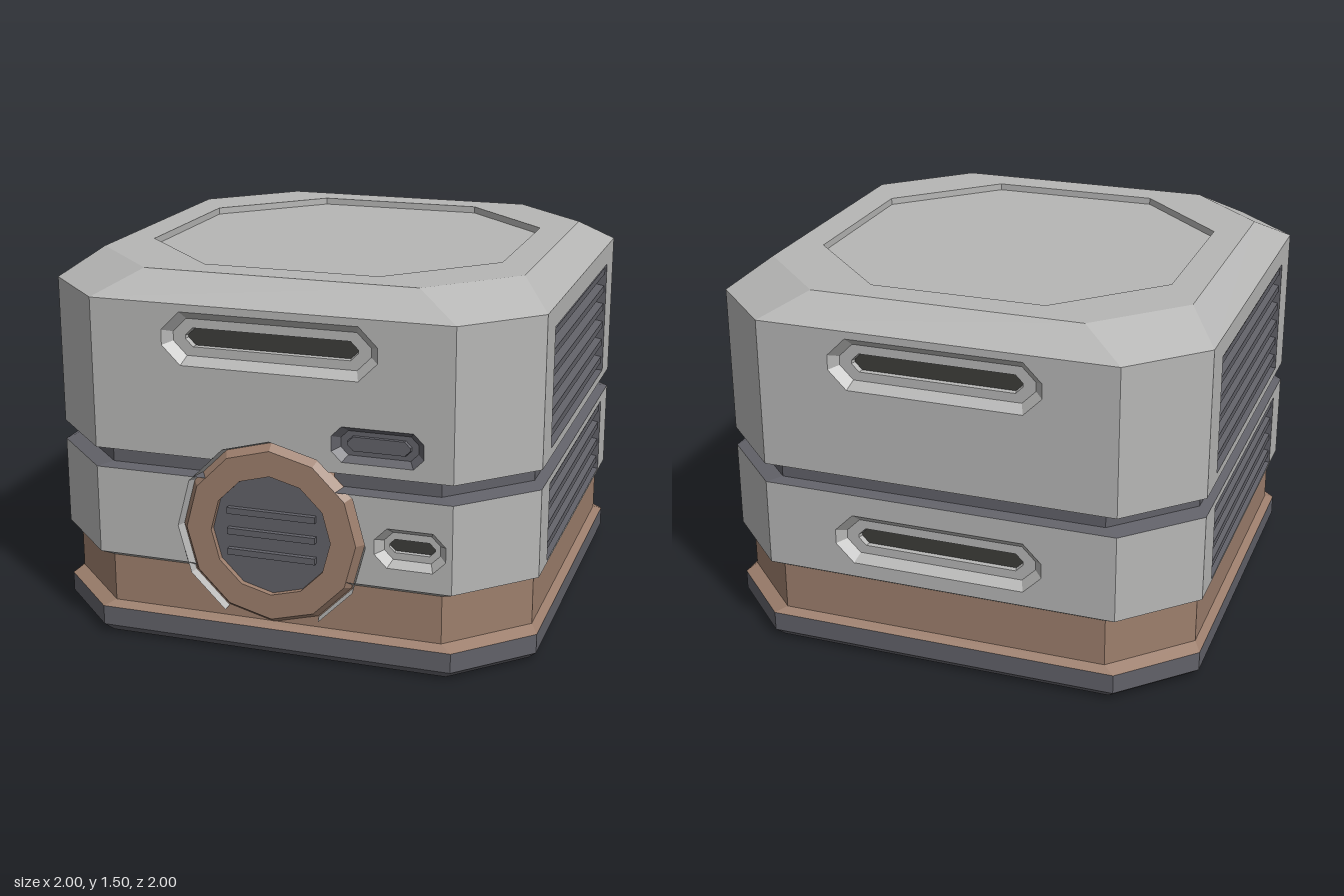
import * as THREE from 'three';

const mat = (name, color) => new THREE.MeshStandardMaterial({ name, color, flatShading: true });

// Skin a list of rings of [x, y, z] points; optionally close the loop.
function loft(rings, closed = true) {
  const out = [];
  for (let i = 0; i < rings.length - 1; i++) {
    const A = rings[i], B = rings[i + 1], n = A.length;
    for (let j = 0; j < (closed ? n : n - 1); j++) {
      const k = (j + 1) % n;
      out.push(...A[j], ...A[k], ...B[k], ...A[j], ...B[k], ...B[j]);
    }
  }
  return toGeometry(out);
}

// Flat convex polygon, facing the side from which the ring is counterclockwise.
function cap(ring) {
  const out = [];
  for (let j = 1; j < ring.length - 1; j++) out.push(...ring[0], ...ring[j], ...ring[j + 1]);
  return toGeometry(out);
}

function toGeometry(positions) {
  const g = new THREE.BufferGeometry();
  g.setAttribute('position', new THREE.Float32BufferAttribute(positions, 3));
  g.computeVertexNormals();
  return g;
}

// Horizontal octagon: h = half width, s = half length of the straight sides.
// With a gap, the ring is left open in the middle of the front.
function octagon(h, s, y, gap = 0) {
  const p = [[s, h], [h, s], [h, -s], [s, -h], [-s, -h], [-h, -s], [-h, s], [-s, h]];
  if (gap) { p.unshift([gap, h]); p.push([-gap, h]); }
  return p.map(([x, z]) => [x, y, z]);
}

// Upright rectangle outline with cut corners, counterclockwise.
function outline(cx, cy, w, h, c = 0) {
  const p = c
    ? [[-w + c, -h], [w - c, -h], [w, -h + c], [w, h - c], [w - c, h], [-w + c, h], [-w, h - c], [-w, -h + c]]
    : [[-w, -h], [w, -h], [w, h], [-w, h]];
  return p.map(([x, y]) => [cx + x, cy + y]);
}
const at = (pts, z) => pts.map(([x, y]) => [x, y, z]);

export function createModel() {
  const body = mat('bodyGrey', 0xb6b6b5);
  const brown = mat('brown', 0x9c7e6c);
  const dark = mat('slateGrey', 0x616168);
  const black = mat('charcoal', 0x3c3c39);

  const model = new THREE.Group();
  model.name = 'octagonalCrate';
  const add = (parent, name, geometry, material) => {
    const m = new THREE.Mesh(geometry, material);
    m.name = name;
    parent.add(m);
    return m;
  };

  const S = 0.725;            // half length of the straight body sides
  const LOW = [0.355, 0.715]; // lower body, bottom and top
  const UP = [0.795, 1.4];    // upper body, bottom and top

  // Base, brown band, groove and lid
  add(model, 'baseBottom', cap(octagon(0.965, 0.7, 0).reverse()), black);
  add(model, 'base', loft([octagon(0.965, 0.7, 0), octagon(1, S, 0.035), octagon(1, S, 0.115)]), dark);
  add(model, 'brownBand', loft([octagon(1, S, 0.115), octagon(0.97, 0.68, 0.138), octagon(0.97, 0.68, 0.335)]), brown);
  add(model, 'bodyLowerEdge', loft([octagon(0.97, 0.68, 0.335, 0.3), octagon(1, S, LOW[0], 0.3)], false), body);
  add(model, 'groove', loft([octagon(1, S, LOW[1], 0.25), octagon(0.96, 0.67, 0.73, 0.25),
    octagon(0.96, 0.67, 0.78, 0.25), octagon(1, S, UP[0], 0.25)], false), dark);
  add(model, 'lid', loft([octagon(1, S, UP[1]), octagon(0.872, 0.55, 1.5),
    octagon(0.74, 0.355, 1.5), octagon(0.74, 0.355, 1.472)]), body);
  add(model, 'lidPanel', cap(octagon(0.74, 0.355, 1.472)), body);

  // Four sides, each built facing +z and turned into place
  const sides = ['front', 'left', 'back', 'right'].map((name, i) => {
    const g = new THREE.Group();
    g.name = name + 'Side';
    g.rotation.y = i * Math.PI / 2;
    model.add(g);
    for (const [y0, y1] of [LOW, UP]) {
      add(g, 'cornerFace', loft([[[S, y0, 1], [1, y0, S]], [[S, y1, 1], [1, y1, S]]], false), body);
    }
    return g;
  });
  const [front, left, back, right] = sides;

  const panel = (side, pts, holes = []) => {
    const v = (a) => a.map(([x, y]) => new THREE.Vector2(x, y));
    const shape = new THREE.Shape(v(pts));
    holes.forEach((h) => shape.holes.push(new THREE.Path(v(h))));
    add(side, 'panel', new THREE.ShapeGeometry(shape), body).position.z = 1;
  };
  const rect = ([y0, y1]) => [[-S, y0], [S, y0], [S, y1], [-S, y1]];

  // Bevelled recess: steps of [outline, z], closed by a floor
  const recess = (side, name, steps, wall, floor) => {
    const rings = steps.map(([pts, z]) => at(pts, z));
    add(side, name, loft(rings), wall);
    add(side, name + 'Floor', cap(rings[rings.length - 1]), floor);
  };

  // Long grip slot; returns the hole it needs
  const grip = (side, y) => {
    const hole = outline(0, y, 0.43, 0.105, 0.075);
    recess(side, 'grip', [[hole, 1], [outline(0, y, 0.395, 0.073, 0.055), 0.965],
      [outline(0, y, 0.345, 0.037, 0.03), 0.965], [outline(0, y, 0.34, 0.035, 0.03), 0.945]], body, black);
    return hole;
  };

  // Louvred vent with evenly spaced slats; returns the hole it needs
  const vent = (side, y0, y1, count) => {
    const hole = outline(0, (y0 + y1) / 2, 0.57, (y1 - y0) / 2);
    recess(side, 'vent', [[hole, 1], [hole, 0.94]], dark, black);
    for (let i = 0; i < count; i++) {
      const y = y1 - 0.031 - i * 0.081;
      recess(side, 'slat', [[outline(0, y, 0.565, 0.023), 0.942], [outline(0, y, 0.565, 0.014), 0.992]], dark, dark);
    }
    return hole;
  };

  for (const side of [left, right]) {
    panel(side, rect(UP), [vent(side, 0.83, 1.315, 6)]);
    panel(side, rect(LOW), [vent(side, 0.365, 0.685, 4)]);
  }
  panel(back, rect(UP), [grip(back, 1.265)]);
  panel(back, rect(LOW), [grip(back, 0.52)]);

  // Front button in its dark recess
  const button = outline(0.43, 0.91, 0.18, 0.07, 0.04);
  recess(front, 'buttonRecess', [[button, 1], [outline(0.43, 0.91, 0.152, 0.048, 0.03), 0.97]], dark, dark);
  recess(front, 'button', [[outline(0.43, 0.91, 0.125, 0.03, 0.022), 0.97],
    [outline(0.43, 0.91, 0.122, 0.028, 0.022), 0.98]], dark, dark);

  // Small front port
  const port = outline(0.56, 0.515, 0.14, 0.08, 0.05);
  recess(front, 'port', [[port, 1], [outline(0.56, 0.515, 0.11, 0.055, 0.035), 0.965],
    [outline(0.56, 0.515, 0.09, 0.027, 0.022), 0.965], [outline(0.56, 0.515, 0.09, 0.025, 0.02), 0.95]], body, black);

  // Front panels, cut out around the dial
  panel(front, [[-S, UP[0]], [-0.236, UP[0]], [-0.1925, 0.838], [0, 0.89], [0.1925, 0.838], [0.236, UP[0]],
    [S, UP[0]], [S, UP[1]], [-S, UP[1]]], [grip(front, 1.265), button]);
  const cut = [[S, LOW[0]], [S, LOW[1]], [0.316, LOW[1]], [0.3334, 0.6975], [0.385, 0.505], [0.345, LOW[0]]];
  panel(front, cut, [port]);
  panel(front, cut.map(([x, y]) => [-x, y]).reverse());

  // Twelve-sided dial
  const dial = new THREE.Group();
  dial.name = 'dial';
  dial.position.y = 0.505;
  front.add(dial);
  const turned = (name, profile, material, segments = 12, start = 0) => {
    const g = new THREE.LatheGeometry(profile.map(([r, z]) => new THREE.Vector2(r, z)), segments, start, segments * Math.PI / 6);
    add(dial, name, g.rotateX(Math.PI / 2), material);
  };
  turned('bezel', [[0.385, 1], [0.372, 0.965]], body, 10, Math.PI / 6);
  turned('dialRing', [[0.373, 0.93], [0.373, 0.965], [0.347, 1], [0.245, 1], [0.245, 0.975]], brown);
  turned('dialFace', [[0.245, 0.975], [0, 0.975]], dark);
  for (const y of [-0.085, 0, 0.085]) {
    add(dial, 'dialBar', new THREE.BoxGeometry(0.36, 0.026, 0.022), dark).position.set(0, y, 0.985);
  }

  return model;
}
